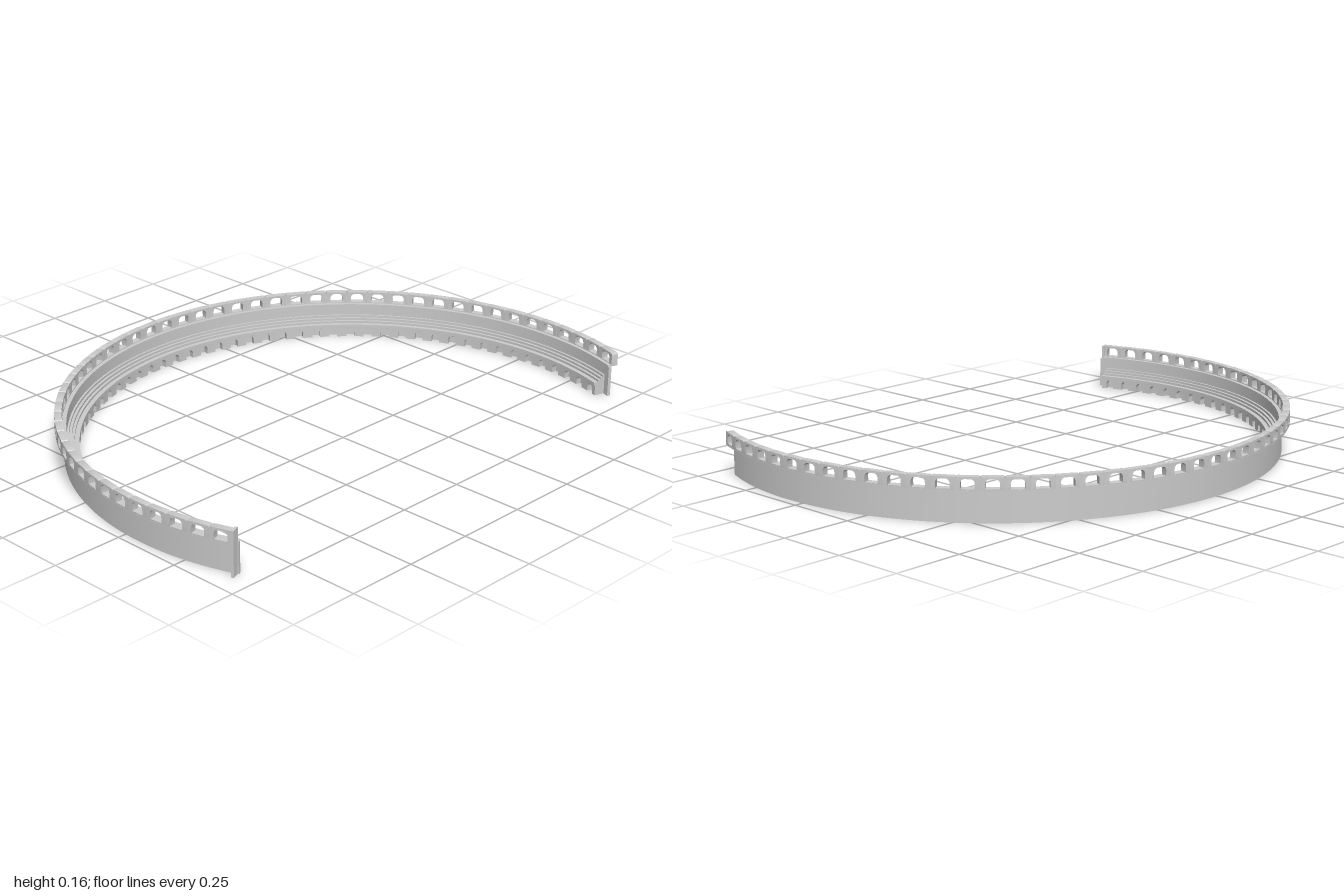
import * as THREE from 'three';
import { mergeGeometries, toCreasedNormals } from 'three/addons/utils/BufferGeometryUtils.js';

const CENTRE_Z = 0.317;
const DEG = Math.PI / 180;

// Place a point on the ring: radius r, angle t measured from the back
function toRing(geometry, rule) {
  const p = geometry.attributes.position;
  for (let i = 0; i < p.count; i++) {
    const [r, t] = rule(p.getX(i), p.getZ(i));
    p.setXYZ(i, r * Math.sin(t), p.getY(i), CENTRE_Z - r * Math.cos(t));
  }
  geometry.deleteAttribute('uv');
  return toCreasedNormals(geometry, 0.5);
}

// Sweep a closed (radius, height) profile between two angles
function sweep(points, from, to, steps) {
  const shape = new THREE.Shape(points.map(([r, y]) => new THREE.Vector2(r, y)));
  const geometry = new THREE.ExtrudeGeometry(shape, { depth: to - from, steps, bevelEnabled: false });
  return toRing(geometry, (x, z) => [x, from + z]);
}

// Trace a round-topped outline, anticlockwise from the lower left
function roundTop(path, w, y0, y1, radius) {
  path.moveTo(-w / 2, y0);
  path.lineTo(w / 2, y0);
  path.lineTo(w / 2, y1 - radius);
  path.absarc(w / 2 - radius, y1 - radius, radius, 0, Math.PI / 2);
  path.lineTo(-w / 2 + radius, y1);
  path.absarc(-w / 2 + radius, y1 - radius, radius, Math.PI / 2, Math.PI);
  path.closePath();
  return path;
}

// Repeat one bay outline around the ring
function arcade(makeBay, count, half, outer, inner) {
  const width = 2 * half * outer / count;
  const bays = [];
  for (let i = 0; i < count; i++) {
    const middle = -half + (i + 0.5) * 2 * half / count;
    const geometry = new THREE.ExtrudeGeometry(makeBay(width), {
      depth: outer - inner, bevelEnabled: false, curveSegments: 5,
    });
    bays.push(toRing(geometry, (x, z) => [outer - z, middle + x / outer]));
  }
  return mergeGeometries(bays);
}

// Parapet bay: softened block with an arched window
function parapetBay(width) {
  const bay = roundTop(new THREE.Shape(), width, 0.112, 0.155, 0.006);
  bay.holes.push(roundTop(new THREE.Path(), width * 0.58, 0.116, 0.148, 0.014));
  return bay;
}

// Lower bay: two feet joined by an arch that opens at the ground
function lowerBay(width) {
  const bay = new THREE.Shape();
  const w = width * 0.23, spring = 0.017;
  bay.moveTo(-width / 2, 0);
  bay.lineTo(-w, 0);
  bay.lineTo(-w, spring);
  bay.absarc(0, spring, w, Math.PI, 0, true);
  bay.lineTo(w, 0);
  bay.lineTo(width / 2, 0);
  bay.lineTo(width / 2, 0.038);
  bay.lineTo(-width / 2, 0.038);
  bay.closePath();
  return bay;
}

export function createModel() {
  const group = new THREE.Group();
  const material = new THREE.MeshStandardMaterial({ color: 0xcccccc });
  const add = (name, geometry) => {
    const mesh = new THREE.Mesh(geometry, material);
    mesh.name = name;
    group.add(mesh);
  };
  const wallEnd = 111.8 * DEG, parapetEnd = 111.4 * DEG, tierEnd = 110.4 * DEG;

  // Outer wall, with the walkway slab overhanging it
  add('outerWall', sweep([[0.962, 0], [0.973, 0], [0.973, 0.108], [0.962, 0.108]], -wallEnd, wallEnd, 112));
  add('walkway', sweep([[0.962, 0.107], [1, 0.107], [1, 0.113], [0.962, 0.113]], -parapetEnd, parapetEnd, 112));

  // Open arched parapet
  add('parapetArcade', arcade(parapetBay, 50, parapetEnd, 1, 0.976));

  // Stepped cornice rising from the lower arcade to the wall
  add('steppedCornice', sweep([
    [0.945, 0], [0.964, 0], [0.964, 0.072], [0.955, 0.072], [0.955, 0.064], [0.946, 0.064],
    [0.946, 0.056], [0.937, 0.056], [0.937, 0.048], [0.921, 0.048], [0.921, 0.038], [0.945, 0.038],
  ], -tierEnd, tierEnd, 112));

  // Small arches around the inner foot
  add('lowerArcade', arcade(lowerBay, 56, tierEnd, 0.946, 0.925));

  // Full-height post closing the right end
  add('endPost', sweep([[0.968, 0], [1, 0], [1, 0.155], [0.968, 0.155]], -parapetEnd - 0.003, -parapetEnd + 0.006, 1));

  return group;
}
